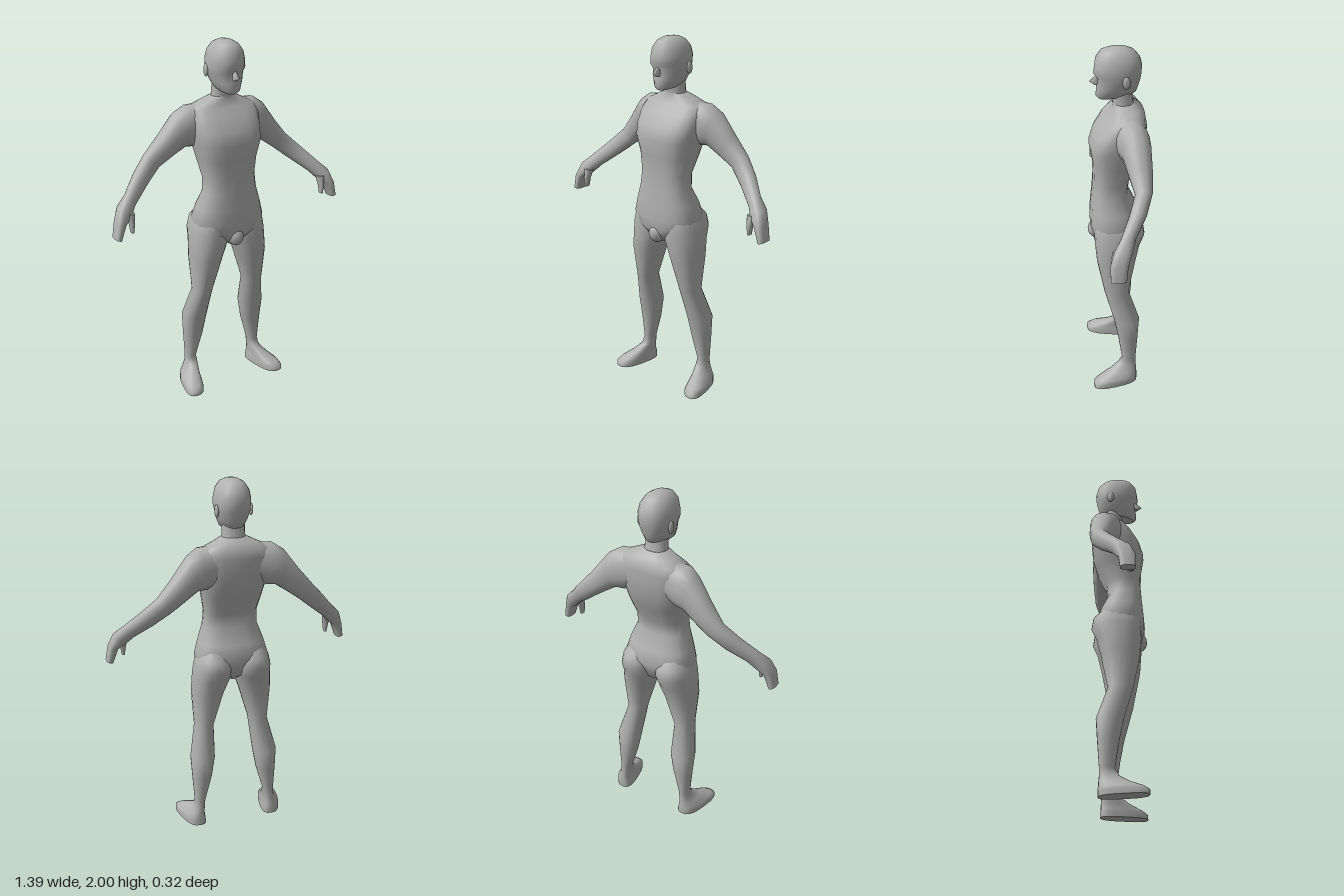
import * as THREE from 'three';

const SIDES = 20;
const skin = new THREE.MeshStandardMaterial({ color: 0xb0b0b0 });
skin.name = 'plain grey';

// A ring spans point (xa,ya) to (xb,yb) and depth zb (back) to zf (front).
// p sets squareness, k slants x with depth, m slants y with depth.
function ring([xa, ya, xb, yb, zb, zf, p = 2.2, k = 0, m = 0]) {
  const pts = [];
  const soft = (v) => Math.sign(v) * Math.abs(v) ** (2 / p);
  for (let i = 0; i < SIDES; i++) {
    const t = (i / SIDES) * Math.PI * 2;
    const c = soft(Math.cos(t)) / 2, dz = (soft(Math.sin(t)) * (zf - zb)) / 2;
    pts.push([(xa + xb) / 2 + (xb - xa) * c + k * dz, (ya + yb) / 2 + (yb - ya) * c + m * dz, (zb + zf) / 2 + dz]);
  }
  return pts;
}

// Skin over rings, with flat end caps; side = -1 mirrors it.
function loft(name, rows, side = 1) {
  const rings = rows.map(ring), pos = [], idx = [];
  const add = (q) => pos.push(q[0] * side, q[1], q[2]);
  rings.forEach((r) => r.forEach(add));
  for (let j = 0; j < rings.length - 1; j++) {
    for (let i = 0; i < SIDES; i++) {
      const n = (i + 1) % SIDES, a = j * SIDES + i, b = j * SIDES + n;
      idx.push(a, a + SIDES, b, b, a + SIDES, b + SIDES);
    }
  }
  [rings[0], rings[rings.length - 1]].forEach((r, end) => {
    const base = pos.length / 3;
    r.forEach(add);
    add([0, 1, 2].map((d) => r.reduce((s, q) => s + q[d], 0) / SIDES));
    for (let i = 0; i < SIDES; i++) {
      const a = base + i, b = base + ((i + 1) % SIDES);
      if (end) idx.push(base + SIDES, b, a);
      else idx.push(base + SIDES, a, b);
    }
  });
  // Turn all faces outward, judged by the signed volume
  const v = (i) => new THREE.Vector3().fromArray(pos, i * 3);
  let volume = 0;
  for (let i = 0; i < idx.length; i += 3) volume += v(idx[i]).dot(v(idx[i + 1]).cross(v(idx[i + 2])));
  if (volume < 0) idx.reverse();
  const geo = new THREE.BufferGeometry();
  geo.setAttribute('position', new THREE.Float32BufferAttribute(pos, 3));
  geo.setIndex(idx);
  geo.computeVertexNormals();
  const mesh = new THREE.Mesh(geo, skin);
  mesh.name = name;
  return mesh;
}

// Level ring centred on x = 0, and level ring between two x values
const mid = (y, h, zb, zf, p, m = 0) => [-h, y, h, y, zb, zf, p, 0, m];
const level = (y, x0, x1, ...rest) => [x0, y, x1, y, ...rest];

function ball(name, x, y, z, sx, sy, sz) {
  const mesh = new THREE.Mesh(new THREE.SphereGeometry(1, 14, 10), skin);
  mesh.name = name;
  mesh.position.set(x, y, z);
  mesh.scale.set(sx, sy, sz);
  return mesh;
}

export function createModel() {
  const model = new THREE.Group();
  model.name = 'figure';

  model.add(loft('torso', [
    mid(0.875, 0.025, -0.04, 0.1),
    mid(0.91, 0.08, -0.09, 0.125),
    mid(0.96, 0.19, -0.11, 0.14, 2.3),
    mid(1.02, 0.208, -0.135, 0.143, 2.5),
    mid(1.1, 0.186, -0.11, 0.137, 2.5),
    mid(1.19, 0.155, -0.065, 0.128, 2.5),
    mid(1.27, 0.149, -0.075, 0.122, 2.5),
    mid(1.37, 0.167, -0.125, 0.125, 2.6),
    mid(1.46, 0.187, -0.152, 0.14, 2.8),
    mid(1.53, 0.196, -0.16, 0.118, 2.8),
    mid(1.6, 0.2, -0.163, 0.072, 2.8),
    mid(1.645, 0.185, -0.155, 0.03, 2.6),
    mid(1.675, 0.12, -0.13, 0.015, 2.4),
    mid(1.7, 0.066, -0.1, 0.012),
  ]));
  model.add(ball('groin', 0, 0.93, 0.105, 0.045, 0.055, 0.05));

  model.add(loft('neck', [
    mid(1.65, 0.08, -0.12, 0.012),
    mid(1.71, 0.062, -0.092, 0.012),
    mid(1.8, 0.062, -0.088, 0.02),
  ]));

  // Head from jaw to crown, with a brow ledge
  model.add(loft('head', [
    mid(1.738, 0.045, -0.1, 0.085, 2.1, -0.15),
    mid(1.752, 0.062, -0.112, 0.1, 2.1, -0.12),
    mid(1.79, 0.08, -0.122, 0.098, 2.1, -0.05),
    mid(1.835, 0.092, -0.132, 0.09, 2.2),
    mid(1.862, 0.096, -0.137, 0.11, 2.2),
    mid(1.9, 0.096, -0.14, 0.107, 2.2),
    mid(1.945, 0.086, -0.128, 0.1, 2.2),
    mid(1.98, 0.062, -0.098, 0.075, 2.2),
    mid(1.996, 0.034, -0.062, 0.035),
    mid(2.0, 0.008, -0.025, 0.0),
  ]));
  model.add(loft('nose', [
    mid(1.85, 0.007, 0.07, 0.1),
    mid(1.818, 0.015, 0.07, 0.132),
    mid(1.802, 0.014, 0.07, 0.11),
  ]));

  for (const side of [1, -1]) {
    const s = side > 0 ? 'left' : 'right';
    model.add(ball(s + 'Ear', side * 0.094, 1.838, -0.05, 0.011, 0.034, 0.02));

    // Arm and hand, shoulder to fingertips
    model.add(loft(s + 'Arm', [
      [0.08, 1.665, 0.08, 1.47, -0.14, 0.0],
      [0.205, 1.658, 0.165, 1.43, -0.162, 0.015],
      [0.268, 1.618, 0.215, 1.43, -0.163, -0.01],
      [0.36, 1.5, 0.285, 1.385, -0.16, -0.035],
      [0.44, 1.408, 0.36, 1.333, -0.15, -0.06],
      [0.52, 1.328, 0.455, 1.257, -0.11, -0.02],
      [0.598, 1.247, 0.55, 1.182, -0.045, 0.032],
      [0.655, 1.193, 0.585, 1.145, -0.025, 0.07, 2.5],
      [0.682, 1.12, 0.63, 1.11, 0.0, 0.09, 2.8],
      [0.696, 1.04, 0.66, 1.03, 0.01, 0.09, 2.8],
    ], side));
    model.add(loft(s + 'Thumb', [
      [0.625, 1.165, 0.572, 1.16, 0.02, 0.072],
      [0.613, 1.11, 0.582, 1.11, 0.04, 0.083],
      [0.606, 1.06, 0.59, 1.06, 0.048, 0.08],
    ], side));

    // Leg and foot, hip to sole
    model.add(loft(s + 'Leg', [
      level(1.08, 0.03, 0.17, -0.09, 0.1),
      level(1.02, 0.012, 0.205, -0.143, 0.12),
      level(0.96, 0.008, 0.218, -0.152, 0.125),
      level(0.9, 0.012, 0.223, -0.125, 0.123),
      level(0.8, 0.05, 0.229, -0.1, 0.115),
      level(0.6, 0.108, 0.216, -0.06, 0.075),
      level(0.42, 0.118, 0.256, -0.12, 0.025),
      level(0.3, 0.138, 0.25, -0.112, 0.002),
      level(0.15, 0.18, 0.24, -0.1, -0.02),
      level(0.11, 0.18, 0.244, -0.1, 0.005),
      level(0.075, 0.186, 0.268, -0.103, 0.06, 2.4, 0.1),
      level(0.045, 0.188, 0.298, -0.105, 0.125, 2.6, 0.18),
      level(0.025, 0.188, 0.304, -0.106, 0.153, 2.8, 0.2),
      level(0, 0.188, 0.304, -0.106, 0.153, 2.8, 0.2),
    ], side));
  }
  return model;
}
